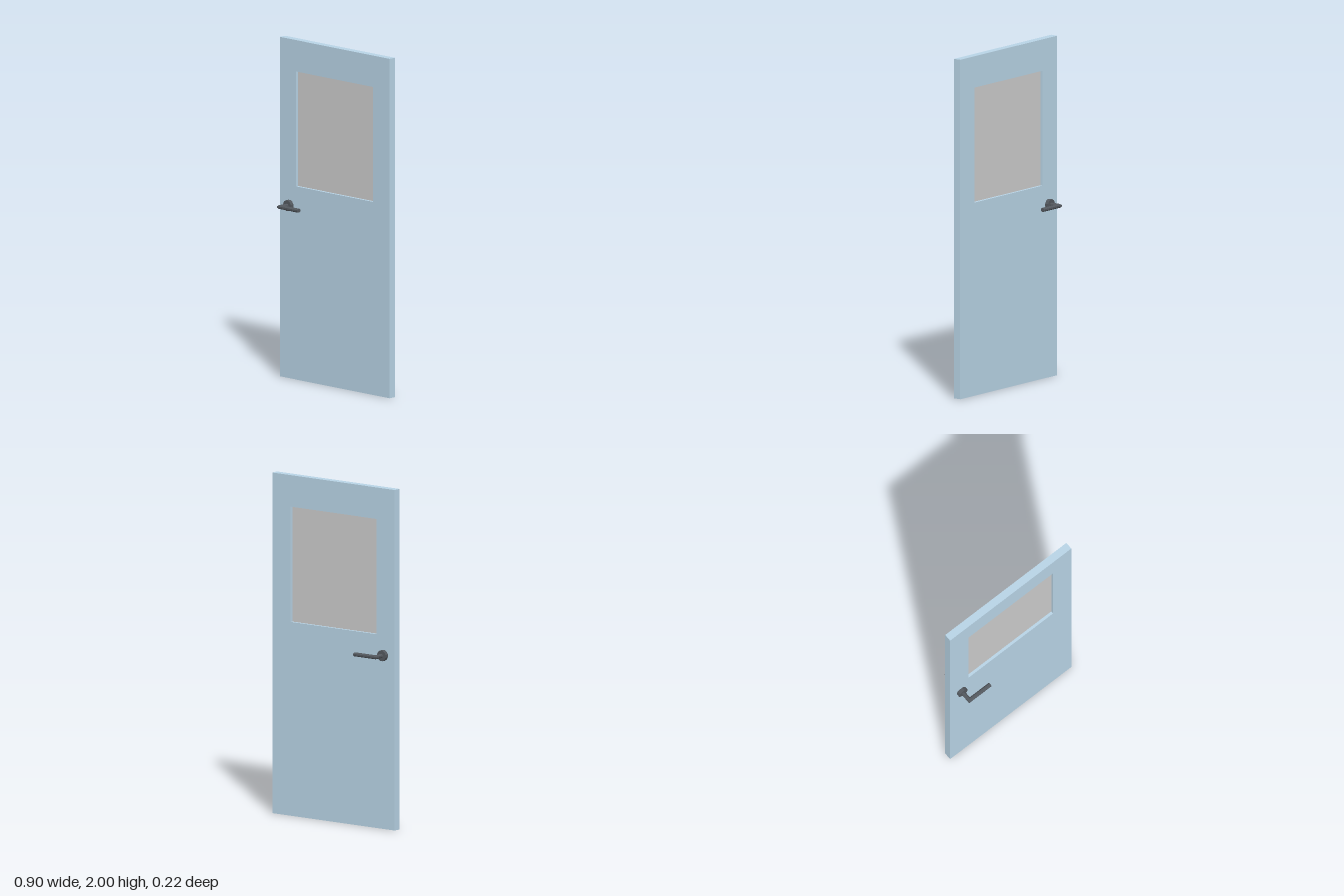
import * as THREE from 'three';

const DOOR = { halfWidth: 0.45, height: 2, thickness: 0.045 };
const WINDOW = { halfWidth: 0.315, bottom: 1.138, top: 1.815, thickness: 0.012 };
const HANDLE = { x: -0.369, y: 1.02, tipX: -0.215, leverZ: 0.1 };

const blue = new THREE.MeshStandardMaterial({ color: 0xb8d4e6 });
const grey = new THREE.MeshStandardMaterial({ color: 0xcccccc });
const dark = new THREE.MeshStandardMaterial({ color: 0x53585e, flatShading: true });

function part(name, geometry, material) {
  const mesh = new THREE.Mesh(geometry, material);
  mesh.name = name;
  return mesh;
}

function rectangle(PathType, halfWidth, bottom, top) {
  const path = new PathType();
  path.moveTo(-halfWidth, bottom);
  path.lineTo(halfWidth, bottom);
  path.lineTo(halfWidth, top);
  path.lineTo(-halfWidth, top);
  path.closePath();
  return path;
}

// Octagonal bar: spindle out of the door, mitred corner, lever along +x
function leverGeometry() {
  const geometry = new THREE.CylinderGeometry(1, 1, 2, 8, 2, false, Math.PI / 8);
  const fit = 1 / Math.cos(Math.PI / 8);
  geometry.scale(0.012 * fit, 1, 0.011 * fit);
  const p = geometry.attributes.position;
  for (let i = 0; i < p.count; i++) {
    const a = p.getX(i), row = p.getY(i), b = p.getZ(i);
    const x = row < -0.5 ? HANDLE.tipX - HANDLE.x : a;
    const z = row > 0.5 ? DOOR.thickness / 2 : HANDLE.leverZ - a;
    p.setXYZ(i, x, b, z);
  }
  geometry.computeVertexNormals();
  return geometry;
}

function createHandle(name) {
  const handle = new THREE.Group();
  handle.name = name;
  const depth = 0.022;
  const rose = new THREE.CylinderGeometry(0.032, 0.032, depth, 12, 1, false, Math.PI / 12);
  rose.rotateX(Math.PI / 2);
  rose.translate(0, 0, DOOR.thickness / 2 + depth / 2);
  handle.add(part('rose', rose, dark), part('lever', leverGeometry(), dark));
  handle.position.set(HANDLE.x, HANDLE.y, 0);
  return handle;
}

export function createModel() {
  const model = new THREE.Group();
  model.name = 'door';

  // Door leaf with a window opening
  const outline = rectangle(THREE.Shape, DOOR.halfWidth, 0, DOOR.height);
  outline.holes.push(rectangle(THREE.Path, WINDOW.halfWidth, WINDOW.bottom, WINDOW.top));
  const leaf = new THREE.ExtrudeGeometry(outline, { depth: DOOR.thickness, bevelEnabled: false });
  leaf.translate(0, 0, -DOOR.thickness / 2);
  model.add(part('doorLeaf', leaf, blue));

  // Recessed window pane
  const paneHeight = WINDOW.top - WINDOW.bottom;
  const pane = part('windowPane',
    new THREE.BoxGeometry(WINDOW.halfWidth * 2, paneHeight, WINDOW.thickness), grey);
  pane.position.y = WINDOW.bottom + paneHeight / 2;
  model.add(pane);

  // Matching handles on both faces
  const back = createHandle('backHandle');
  back.rotation.x = Math.PI;
  model.add(createHandle('frontHandle'), back);

  return model;
}
